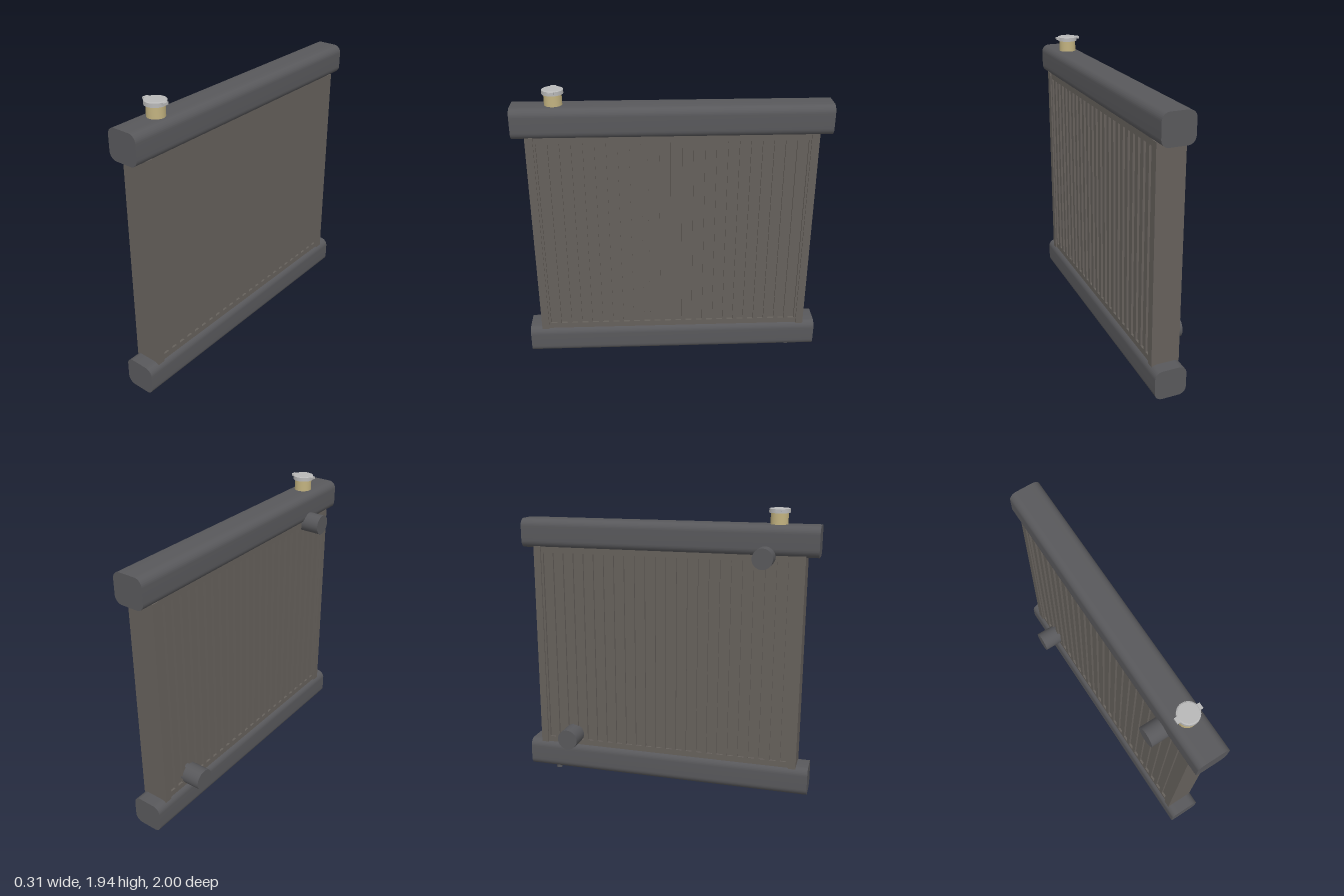
import * as THREE from 'three';
import { toCreasedNormals } from 'three/addons/utils/BufferGeometryUtils.js';

const CX = 0.05; // middle of the thickness

export function createModel() {
  const model = new THREE.Group();
  model.name = 'radiator';
  const mat = (color) => new THREE.MeshStandardMaterial({ color });
  const dark = mat(0x58585b), core = mat(0x65605b), brass = mat(0xc2b280), silver = mat(0xb8b8b8);

  const add = (name, geometry, material, x, y, z, parent = model) => {
    const mesh = new THREE.Mesh(geometry, material);
    mesh.name = name;
    mesh.position.set(x, y, z);
    parent.add(mesh);
    return mesh;
  };
  const box = (name, w, h, d, x, y, z, parent) =>
    add(name, new THREE.BoxGeometry(w, h, d), core, x, y, z, parent);

  // Rounded tanks along the top and bottom
  const a = 0.105, b = 0.0985, r = 0.05;
  const section = new THREE.Shape();
  section.moveTo(a, b - r);
  section.absarc(a - r, b - r, r, 0, Math.PI / 2);
  section.absarc(-a + r, b - r, r, Math.PI / 2, Math.PI);
  section.absarc(-a + r, -b + r, r, Math.PI, Math.PI * 1.5);
  section.absarc(a - r, -b + r, r, Math.PI * 1.5, Math.PI * 2);
  const tank = toCreasedNormals(
    new THREE.ExtrudeGeometry(section, { depth: 2, bevelEnabled: false, curveSegments: 8 }), 0.6);
  add('bottomTank', tank, dark, CX, 0.143, -1);
  add('topTank', tank, dark, CX, 1.742, -1);

  // Side plates
  for (const s of [1, -1]) {
    box(s > 0 ? 'frontSidePlate' : 'backSidePlate', 0.185, 1.425, 0.05, CX, 0.9425, s * 0.894);
  }

  // Core: inner slab, upright fins on both faces, rails at top and bottom
  const coreGroup = new THREE.Group();
  coreGroup.name = 'core';
  model.add(coreGroup);
  const width = 1.74, slots = 24, pitch = width / slots, outer = 0.166;
  box('coreSlab', 0.138, 1.42, width, CX, 0.9425, 0, coreGroup);
  for (let i = 0; i <= slots; i++) {
    box('fin', outer, 1.38, pitch * 0.42, CX, 0.9425, -width / 2 + i * pitch, coreGroup);
  }
  for (const y of [0.25, 1.635]) box('rail', outer, 0.045, width, CX, y, 0, coreGroup);

  // Hose pipes on the left-hand face of the front view
  const pipe = (name, radius, y, z) => {
    const g = new THREE.CylinderGeometry(radius, radius, 0.16, 32).rotateZ(Math.PI / 2);
    add(name, g, dark, -0.08, y, z);
  };
  pipe('upperPipe', 0.066, 1.645, 0.665);
  pipe('lowerPipe', 0.071, 0.31, -0.67);

  // Drain
  add('drain', new THREE.CylinderGeometry(0.02, 0.02, 0.06, 16), dark, CX, 0.03, -0.83);

  // Filler neck and cap with two ears
  const filler = new THREE.Group();
  filler.name = 'filler';
  filler.position.set(CX, 0, 0.735);
  model.add(filler);
  add('neck', new THREE.CylinderGeometry(0.056, 0.056, 0.09, 32), brass, 0, 1.87, 0, filler);
  add('capRim', new THREE.CylinderGeometry(0.067, 0.067, 0.025, 32), silver, 0, 1.9245, 0, filler);
  add('capTop', new THREE.CylinderGeometry(0.06, 0.067, 0.004, 32), silver, 0, 1.938, 0, filler);
  for (const s of [1, -1]) {
    add('capEar', new THREE.BoxGeometry(0.035, 0.015, 0.036), silver, s * 0.065, 1.93, 0, filler);
  }
  return model;
}
